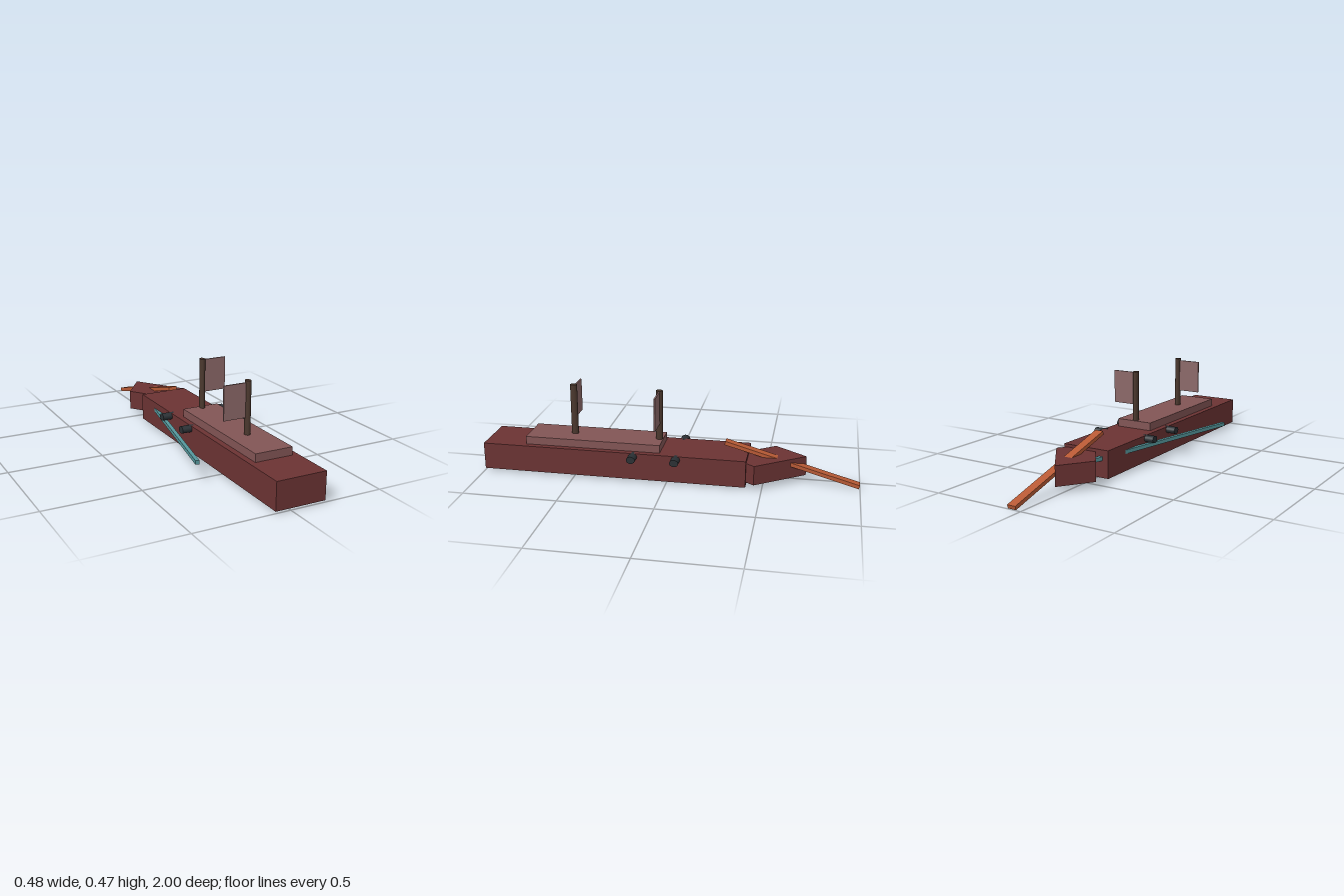
import * as THREE from 'three';

const paint = (color) => new THREE.MeshStandardMaterial({ color });

export function createModel() {
  const ship = new THREE.Group();
  const red = paint(0x6b3333);
  const deckRed = paint(0x825555);
  const sailCloth = paint(0x8b6868);
  const wood = paint(0x4a372d);
  const iron = paint(0x2a3034);
  const orange = paint(0xb85a35);
  const teal = paint(0x55979c);
  const midX = 0.054;

  const add = (name, geometry, material, x, y, z) => {
    const mesh = new THREE.Mesh(geometry, material);
    mesh.name = name;
    mesh.position.set(x, y, z);
    ship.add(mesh);
    return mesh;
  };
  const box = (name, w, h, d, material, x, y, z) =>
    add(name, new THREE.BoxGeometry(w, h, d), material, x, y, z);

  // Hull and raised deck
  box('hull', 0.268, 0.145, 1.416, red, midX, 0.082, 0.292);
  box('deck', 0.204, 0.05, 0.73, deckRed, midX, 0.172, 0.405);

  // Skewed stern block, a four-cornered plan pulled upward
  const plan = new THREE.Shape([
    [0.02, 0.718], [-0.1, 0.55], [0.085, 0.292], [0.205, 0.46],
  ].map(([x, y]) => new THREE.Vector2(x, y)));
  const sternGeometry = new THREE.ExtrudeGeometry(plan, { depth: 0.105, bevelEnabled: false });
  sternGeometry.rotateX(-Math.PI / 2);
  add('sternBlock', sternGeometry, red, 0, 0.034, 0);

  // Masts, each with a sail on the opposite side
  for (const [z, top, side] of [[0.525, 0.472, -1], [0.06, 0.466, 1]]) {
    const height = top - 0.18;
    const mast = add('mast', new THREE.CylinderGeometry(0.0145, 0.0145, height, 20), wood,
      midX, 0.18 + height / 2, z);
    mast.scale.z = 1.3;
    box('sail', 0.135, 0.177, 0.008, sailCloth, midX + side * 0.0675, 0.373, z);
  }

  // Two cannons on each side
  for (const z of [-0.05, 0.178]) {
    for (const side of [-1, 1]) {
      const barrel = new THREE.CylinderGeometry(0.019, 0.019, 0.07, 20).rotateZ(Math.PI / 2);
      const cannon = add('cannon', barrel, iron, midX + side * 0.151, 0.137, z);
      cannon.scale.z = 1.23;
    }
  }

  // Sloping steering plank through the stern
  const plank = box('steeringPlank', 0.047, 0.02, 0.731, orange, midX, 0.1075, -0.645);
  plank.rotation.x = -0.271;

  // Long oar angled out from one side
  const oar = box('oar', 0.02, 0.02, 1.04, teal, -0.13, 0.11, 0.041);
  oar.rotation.y = -0.2;

  return ship;
}
